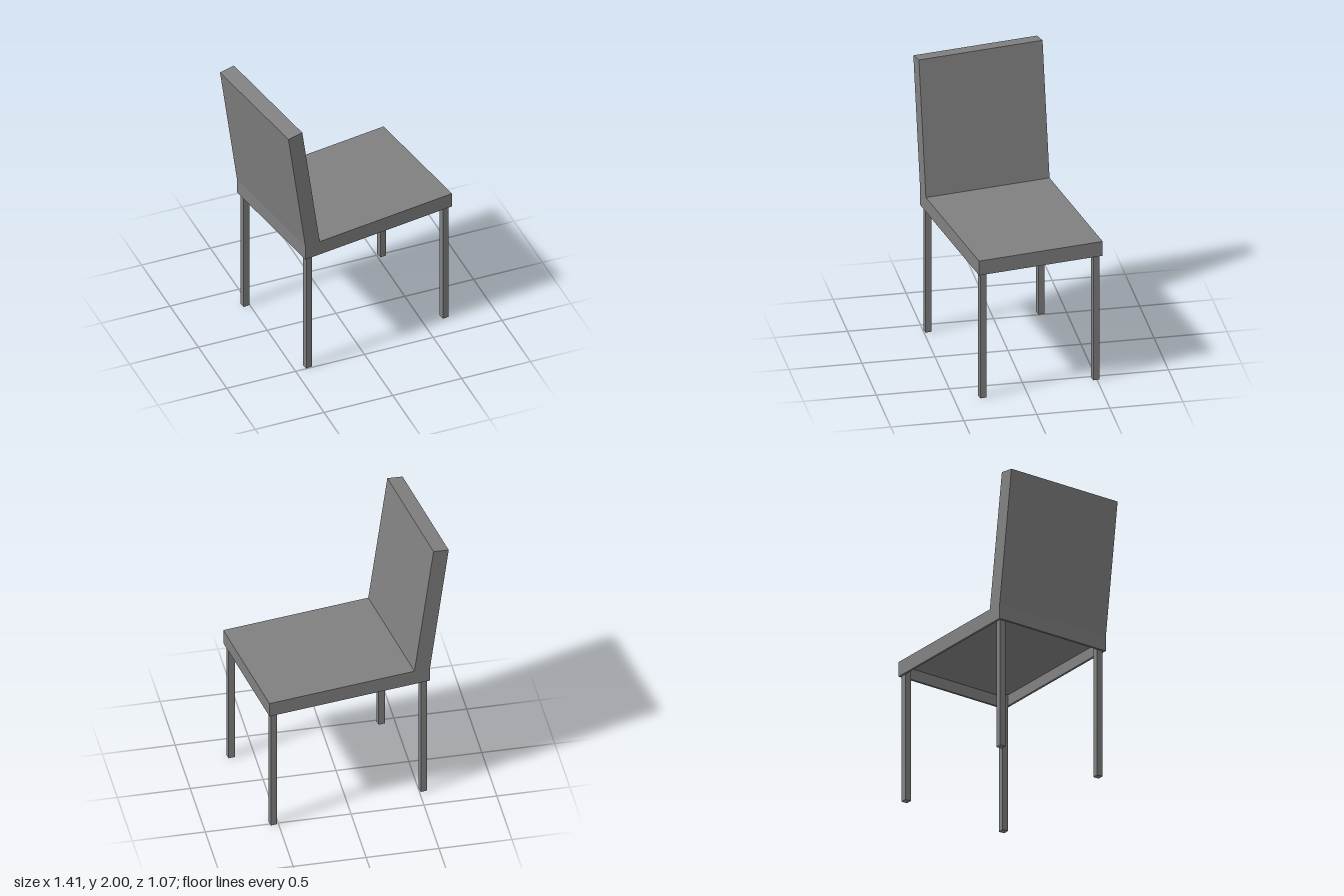
import * as THREE from 'three';

export function createModel() {
  const model = new THREE.Group();
  model.name = 'chair';
  const grey = new THREE.MeshStandardMaterial({ color: 0x808080 });
  grey.name = 'grey';

  const rear = -0.509, front = 0.643, half = 0.442; // seat extents
  const under = 0.928, ceiling = 1.008, top = 1.035; // seat heights
  const rim = 0.016, leg = 0.044;
  const length = front - rear, middle = (front + rear) / 2;

  const add = (name, geometry, x, y, z) => {
    const mesh = new THREE.Mesh(geometry, grey);
    mesh.name = name;
    mesh.position.set(x, y, z);
    model.add(mesh);
    return mesh;
  };
  const outline = (Type, points) => new Type(points.map(([x, y]) => new THREE.Vector2(x, y)));
  const rectangle = (w, h) => [[-w, -h], [w, -h], [w, h], [-w, h]];

  // Seat panel with a thin rim hanging below it, hollow underneath
  add('seatPanel', new THREE.BoxGeometry(length, top - ceiling, half * 2), middle, (top + ceiling) / 2, 0);
  const frame = outline(THREE.Shape, rectangle(length / 2, half));
  frame.holes.push(outline(THREE.Path, rectangle(length / 2 - rim, half - rim).reverse()));
  const rimGeometry = new THREE.ExtrudeGeometry(frame, { depth: ceiling - under, bevelEnabled: false });
  rimGeometry.rotateX(-Math.PI / 2);
  add('seatRim', rimGeometry, middle, under, 0);

  // Backrest leaning away from the seat
  const profile = outline(THREE.Shape, [[rear, top], [-0.397, top], [-0.534, 2], [-0.643, 1.985]]);
  add('backrest', new THREE.ExtrudeGeometry(profile, { depth: half * 2, bevelEnabled: false }), 0, 0, -half);

  // Four square legs reaching up inside the rim
  const inset = rim + leg / 2;
  for (const x of [rear + inset, front - inset]) {
    for (const side of [-1, 1]) {
      add('leg', new THREE.BoxGeometry(leg, ceiling, leg), x, ceiling / 2, side * (half - inset));
    }
  }

  // The chair stands slightly turned
  model.rotation.y = 0.155;
  const group = new THREE.Group();
  group.add(model);
  return group;
}
